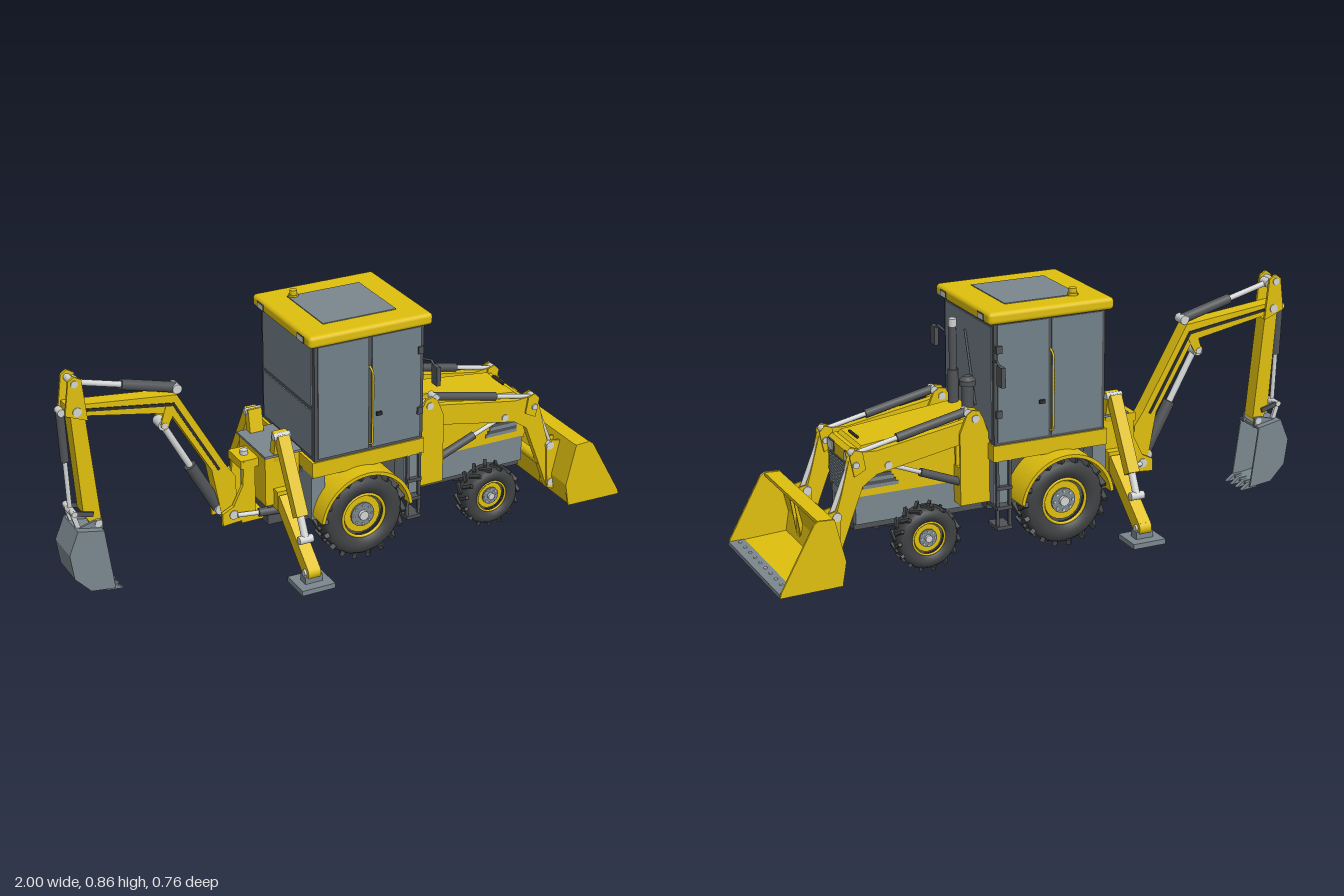
import * as THREE from 'three';
import { RoundedBoxGeometry } from 'three/addons/geometries/RoundedBoxGeometry.js';

const paint = (name, color) => {
  const m = new THREE.MeshStandardMaterial({ color });
  m.name = name;
  return m;
};

export function createModel() {
  const yellow = paint('yellow paint', 0xdfbf0e), grey = paint('grey steel', 0x7a868e);
  const glass = paint('window glass', 0x72808a), dark = paint('dark frame', 0x505356);
  const rubber = paint('tyre rubber', 0x3f4143), chrome = paint('chrome', 0xd2d4d4);
  const black = paint('black trim', 0x2c2d2e);
  const root = new THREE.Group();
  root.name = 'diggingTractor';
  const V = (x, y, z) => new THREE.Vector3(x, y, z);

  function add(name, geo, mat, parent = root) {
    const m = new THREE.Mesh(geo, mat);
    m.name = name;
    parent.add(m);
    return m;
  }
  // Box given by its limits on each axis
  function box(name, mat, x0, x1, y0, y1, z0, z1) {
    const m = add(name, new THREE.BoxGeometry(x1 - x0, y1 - y0, Math.abs(z1 - z0)), mat);
    m.position.set((x0 + x1) / 2, (y0 + y1) / 2, (z0 + z1) / 2);
  }
  // Side profile (points or a shape) extruded along z, centred on z
  function slab(name, mat, profile, z, depth) {
    const shape = Array.isArray(profile) ? new THREE.Shape(profile.map(p => new THREE.Vector2(...p))) : profile;
    const geo = new THREE.ExtrudeGeometry(shape, { depth, bevelEnabled: false, curveSegments: 24 });
    add(name, geo.translate(0, 0, z - depth / 2), mat);
  }
  // Round rod between two points
  function rod(name, mat, a, b, r, parent = root, r2 = r) {
    const m = add(name, new THREE.CylinderGeometry(r2, r, a.distanceTo(b), 20), mat, parent);
    m.position.copy(a).lerp(b, 0.5);
    m.quaternion.setFromUnitVectors(V(0, 1, 0), b.clone().sub(a).normalize());
    return m;
  }
  // Square beam between two points
  function beam(name, mat, a, b, w, h) {
    const m = add(name, new THREE.BoxGeometry(w, h, a.distanceTo(b)), mat);
    m.position.copy(a).lerp(b, 0.5);
    m.lookAt(b);
  }
  // Pins along z and along x
  const pin = (name, mat, x, y, z, r, w) => rod(name, mat, V(x, y, z - w / 2), V(x, y, z + w / 2), r);
  const crossPin = (name, mat, x, y, z, r, w) => rod(name, mat, V(x - w / 2, y, z), V(x + w / 2, y, z), r);
  // Hydraulic ram: dark barrel from a, chrome rod to b
  function ram(name, a, b, r, share) {
    const mid = a.clone().lerp(b, share);
    rod(name + 'Barrel', dark, a, mid, r);
    rod(name + 'Rod', chrome, mid, b, r * 0.55);
    for (const p of [a, b]) pin(name + 'Eye', chrome, p.x, p.y, p.z, r * 0.9, r * 2.4);
  }

  // Wheel with angled lugs, yellow rim and bolted hub
  function wheel(name, x, R, z, w, lugs) {
    const g = new THREE.Group();
    g.name = name;
    g.position.set(x, R, z);
    if (z < 0) g.rotation.x = Math.PI;
    root.add(g);
    const r = R * 0.94, h = w / 2, rim = R * 0.54;
    const prof = [[rim, -h * 0.8], [r * 0.75, -h], [r * 0.92, -h * 0.9], [r, -h * 0.6], [r, h * 0.6],
      [r * 0.92, h * 0.9], [r * 0.75, h], [rim, h * 0.8], [rim * 0.92, h * 0.5]].map(p => new THREE.Vector2(...p));
    add('tyre', new THREE.LatheGeometry(prof, 40).rotateX(Math.PI / 2), rubber, g);
    for (let i = 0; i < lugs * 2; i++) {
      const side = i % 2 ? 1 : -1, arm = new THREE.Group();
      arm.name = 'lugArm';
      arm.rotation.z = i * Math.PI / lugs;
      g.add(arm);
      const lug = add('lug', new THREE.BoxGeometry(R * 0.1, R * 0.11, h * 1.1), rubber, arm);
      lug.position.set(0, R * 0.945, side * h * 0.48);
      lug.rotation.y = side * 0.55;
    }
    const disc = (n, m, rad, z0, z1) => rod(n, m, V(0, 0, z0), V(0, 0, z1), rad, g);
    disc('rimBack', dark, rim * 0.95, -h * 0.7, h * 0.3);
    add('rimRing', new THREE.TorusGeometry(rim * 0.93, R * 0.035, 8, 40), yellow, g).position.z = h * 0.72;
    disc('rimDish', yellow, rim * 0.8, 0, h * 0.5);
    disc('hub', grey, rim * 0.52, 0, h * 0.62);
    disc('hubCap', chrome, rim * 0.2, 0, h * 0.85);
    for (let i = 0; i < 8; i++) {
      const a = i * Math.PI / 4, b = disc('wheelBolt', chrome, R * 0.025, h * 0.5, h * 0.7);
      b.position.x = Math.cos(a) * rim * 0.4;
      b.position.y = Math.sin(a) * rim * 0.4;
    }
  }

  // Chassis and axles
  box('chassis', dark, -0.3, 0.68, 0.12, 0.2, -0.085, 0.085);
  box('lowerBody', grey, 0.3, 0.68, 0.145, 0.24, -0.105, 0.105);
  box('underCab', dark, -0.19, 0.22, 0.13, 0.33, -0.125, 0.125);
  pin('rearAxle', dark, -0.015, 0.155, 0, 0.035, 0.34);
  pin('frontAxle', dark, 0.48, 0.11, 0, 0.025, 0.38);
  for (const [x, y, r] of [[-0.015, 0.155, 0.06], [0.48, 0.11, 0.045]])
    add('differential', new THREE.SphereGeometry(r, 20, 14), dark).position.set(x, y, 0);

  for (const s of [1, -1]) {
    wheel('rearWheel', -0.015, 0.155, s * 0.193, 0.1, 18);
    wheel('frontWheel', 0.48, 0.11, s * 0.207, 0.08, 15);
    // Rear fender arch
    const arch = new THREE.Shape();
    arch.absarc(-0.015, 0.155, 0.172, 0.12, Math.PI - 0.12, false);
    arch.absarc(-0.015, 0.155, 0.16, Math.PI - 0.12, 0.12, true);
    slab('rearFender', yellow, arch, s * 0.197, 0.126);
    // Tanks, steps and side panels
    box('rearPanel', grey, -0.19, -0.14, 0.16, 0.325, s * 0.1, s * 0.19);
    box('tank', grey, 0.16, 0.225, 0.17, 0.325, s * 0.1, s * 0.19);
    for (const x of [0.165, 0.21]) box('stepPost', dark, x, x + 0.01, 0.08, 0.325, s * 0.19, s * 0.2);
    for (const y of [0.08, 0.15, 0.22]) box('step', dark, 0.165, 0.22, y, y + 0.012, s * 0.13, s * 0.205);
  }

  // Cab
  box('cabFloor', yellow, -0.19, 0.23, 0.32, 0.375, -0.2, 0.2);
  box('cabFrame', dark, -0.18, 0.225, 0.375, 0.795, -0.195, 0.195);
  add('roof', new RoundedBoxGeometry(0.455, 0.042, 0.428, 4, 0.014), yellow).position.set(0.022, 0.81, 0);
  box('roofHatch', grey, -0.115, 0.155, 0.829, 0.834, -0.13, 0.13);
  box('windscreen', glass, 0.224, 0.229, 0.39, 0.775, -0.182, 0.182);
  box('rearLowerWindow', glass, -0.184, -0.179, 0.39, 0.555, -0.18, 0.18);
  box('rearUpperWindow', glass, -0.184, -0.179, 0.57, 0.78, -0.18, 0.18);
  rod('wiper', dark, V(0.233, 0.48, -0.065), V(0.233, 0.72, 0.013), 0.004);
  rod('beaconBase', yellow, V(-0.095, 0.83, -0.125), V(-0.095, 0.84, -0.125), 0.017);
  rod('beacon', yellow, V(-0.095, 0.838, -0.125), V(-0.095, 0.856, -0.125), 0.013);
  for (const s of [1, -1]) {
    box('doorWindow', glass, 0.03, 0.213, 0.385, 0.785, s * 0.194, s * 0.199);
    box('sideWindow', glass, -0.168, 0.018, 0.385, 0.785, s * 0.194, s * 0.199);
    box('doorHandle', black, 0.045, 0.065, 0.5, 0.512, s * 0.198, s * 0.208);
    for (const y of [0.47, 0.69]) box('hinge', dark, 0.2, 0.22, y, y + 0.025, s * 0.195, s * 0.206);
    const rail = new THREE.CatmullRomCurve3([V(0.022, 0.4, s * 0.197), V(0.022, 0.41, s * 0.217),
      V(0.022, 0.45, s * 0.22), V(0.022, 0.63, s * 0.22), V(0.022, 0.67, s * 0.217), V(0.022, 0.68, s * 0.197)]);
    add('handrail', new THREE.TubeGeometry(rail, 24, 0.004, 8), yellow);
    rod('mirrorArm', dark, V(0.225, 0.665, s * 0.195), V(0.232, 0.675, s * 0.235), 0.004);
    rod('mirrorArm', dark, V(0.232, 0.675, s * 0.235), V(0.232, 0.655, s * 0.265), 0.004);
    box('mirror', dark, 0.225, 0.24, 0.6, 0.667, s * 0.248, s * 0.284);
    for (const x of [-0.207, 0.247]) {
      box('lampBezel', dark, x, x + 0.004, 0.797, 0.82, s * 0.124, s * 0.172);
      box('roofLamp', chrome, x - 0.001, x + 0.005, 0.8, 0.817, s * 0.128, s * 0.168);
    }
  }

  // Hood, grille and lamps
  slab('hood', yellow, [[0.22, 0.235], [0.69, 0.235], [0.69, 0.385], [0.675, 0.398], [0.22, 0.44]], 0, 0.21);
  slab('hoodCrown', yellow, [[0.22, 0.43], [0.67, 0.39], [0.65, 0.41], [0.22, 0.458]], 0, 0.185);
  box('grille', dark, 0.688, 0.695, 0.243, 0.347, -0.08, 0.08);
  for (let i = 0; i < 9; i++) box('grilleBar', grey, 0.693, 0.699, 0.247 + i * 0.011, 0.254 + i * 0.011, -0.077, 0.077);
  pin('hoodHandle', black, 0.64, 0.42, 0, 0.005, 0.07);
  for (const s of [1, -1]) {
    box('lampBezel', dark, 0.688, 0.693, 0.352, 0.387, s * 0.047, s * 0.099);
    box('headlamp', chrome, 0.69, 0.696, 0.355, 0.384, s * 0.05, s * 0.096);
    for (let i = 0; i < 4; i++)
      box('sideVent', i % 2 ? dark : grey, 0.53 + i * 0.008, 0.655, 0.265 + i * 0.012, 0.277 + i * 0.012, s * 0.104, s * 0.109);
  }
  // Exhaust and air intake
  rod('exhaustMuffler', dark, V(0.25, 0.44, 0.075), V(0.25, 0.567, 0.075), 0.018);
  rod('exhaustPipe', dark, V(0.25, 0.56, 0.075), V(0.25, 0.72, 0.075), 0.013);
  rod('exhaustTip', chrome, V(0.25, 0.717, 0.075), V(0.25, 0.743, 0.075), 0.014);
  rod('intakePipe', dark, V(0.265, 0.44, -0.075), V(0.265, 0.56, -0.075), 0.02);
  rod('intakeCap', dark, V(0.265, 0.557, -0.075), V(0.265, 0.575, -0.075), 0.028);
  rod('intakeDome', dark, V(0.265, 0.575, -0.075), V(0.265, 0.588, -0.075), 0.028, root, 0.014);

  // Front lift towers, arms and rams
  for (const s of [1, -1]) {
    const z = s * 0.135;
    for (const o of [-0.018, 0.018])
      slab('liftTower', yellow, [[0.225, 0.17], [0.33, 0.17], [0.33, 0.42], [0.305, 0.48], [0.285, 0.495], [0.26, 0.49], [0.245, 0.46], [0.225, 0.4]], z + o, 0.009);
    box('towerFoot', yellow, 0.225, 0.33, 0.17, 0.3, s * 0.1, s * 0.15);
    slab('liftArm', yellow, [[0.255, 0.45], [0.29, 0.46], [0.62, 0.405], [0.69, 0.41], [0.715, 0.385], [0.745, 0.27], [0.795, 0.1],
      [0.795, 0.04], [0.765, 0.035], [0.735, 0.12], [0.67, 0.29], [0.62, 0.325], [0.3, 0.385]], z, 0.026);
    for (const o of [-0.017, 0.017])
      slab('bellCrank', yellow, [[0.66, 0.35], [0.7, 0.33], [0.715, 0.4], [0.695, 0.42], [0.67, 0.41]], z + o, 0.006);
    ram('tiltRam', V(0.3, 0.487, z), V(0.695, 0.402, z), 0.015, 0.62);
    rod('tiltLink', chrome, V(0.705, 0.385, z), V(0.775, 0.21, z), 0.008);
    ram('liftRam', V(0.29, 0.235, z), V(0.58, 0.35, z), 0.014, 0.6);
    for (const [x, y, r] of [[0.275, 0.465, 0.013], [0.695, 0.37, 0.011], [0.765, 0.205, 0.015], [0.775, 0.06, 0.015]])
      pin('liftPin', chrome, x, y, z, r, 0.052);
    for (const o of [-0.02, 0.02])
      slab('bucketBracket', yellow, [[0.75, 0.21], [0.77, 0.225], [0.82, 0.215], [0.79, 0.03], [0.76, 0.04]], z + o, 0.007);
  }
  pin('armCrossTube', yellow, 0.745, 0.14, 0, 0.018, 0.27);

  // Front bucket: shell, cheeks and bolted cutting edge
  slab('bucketShell', yellow, [[0.865, 0.24], [0.81, 0.237], [0.776, 0.09], [0.79, 0.012], [0.99, 0.004],
    [0.99, 0.012], [0.797, 0.022], [0.786, 0.09], [0.818, 0.226], [0.865, 0.228]], 0, 0.504);
  for (const s of [1, -1])
    slab('bucketCheek', yellow, [[0.865, 0.242], [0.81, 0.239], [0.774, 0.09], [0.788, 0.008], [1, 0.004], [0.995, 0.022], [0.88, 0.23]], s * 0.252, 0.008);
  box('cuttingEdge', grey, 0.945, 1, 0.002, 0.016, -0.25, 0.25);
  for (let i = 0; i < 10; i++) {
    const z = -0.225 + i * 0.05;
    rod('edgeBolt', chrome, V(0.967, 0.014, z), V(0.967, 0.02, z), 0.006);
  }

  // Rear frame and stabilizers
  box('rearFrame', yellow, -0.315, -0.185, 0.2, 0.38, -0.1, 0.1);
  box('rearFrameTop', grey, -0.32, -0.185, 0.38, 0.388, -0.11, 0.11);
  box('rearCrossBeam', yellow, -0.285, -0.235, 0.19, 0.26, -0.13, 0.13);
  for (const s of [1, -1]) {
    const x = -0.26, foot = V(x, 0.055, s * 0.326);
    beam('stabilizerLeg', yellow, V(x, 0.23, s * 0.12), foot, 0.045, 0.05);
    crossPin('legEnd', yellow, x, foot.y, foot.z, 0.025, 0.045);
    crossPin('footPin', chrome, x, foot.y, foot.z, 0.011, 0.06);
    box('footBracket', grey, x - 0.032, x + 0.032, 0.015, 0.045, s * 0.308, s * 0.344);
    box('footPad', grey, -0.32, -0.2, 0.002, 0.02, s * 0.27, s * 0.38);
    beam('ramSleeve', yellow, V(x, 0.455, s * 0.115), V(x, 0.22, s * 0.25), 0.042, 0.036);
    rod('stabilizerRod', chrome, V(x, 0.23, s * 0.244), V(x, 0.152, s * 0.284), 0.013);
    crossPin('rodEye', chrome, x, 0.152, s * 0.284, 0.014, 0.05);
    beam('ramMount', yellow, V(x, 0.36, s * 0.085), V(x, 0.465, s * 0.105), 0.05, 0.03);
    crossPin('mountPin', chrome, x, 0.455, s * 0.11, 0.012, 0.06);
    // Swing frame plates and slewing rams
    slab('swingPlate', yellow, [[-0.45, 0.135], [-0.33, 0.145], [-0.33, 0.36], [-0.37, 0.36], [-0.375, 0.27], [-0.41, 0.2], [-0.45, 0.18]], s * 0.045, 0.014);
    rod('swingRam', dark, V(-0.22, 0.17, s * 0.09), V(-0.33, 0.17, s * 0.075), 0.015);
    rod('swingRod', chrome, V(-0.33, 0.17, s * 0.075), V(-0.4, 0.17, s * 0.06), 0.008);
  }
  for (const y of [0.13, 0.33]) box('swingHinge', yellow, -0.38, -0.27, y, y + 0.03, -0.05, 0.05);
  rod('kingPin', chrome, V(-0.345, 0.12, 0), V(-0.345, 0.375, 0), 0.014);

  // Boom with dark side stripes
  slab('boom', yellow, [[-0.965, 0.68], [-0.91, 0.675], [-0.59, 0.64], [-0.425, 0.35], [-0.39, 0.3], [-0.385, 0.15], [-0.44, 0.15],
    [-0.475, 0.34], [-0.615, 0.58], [-0.91, 0.635], [-0.965, 0.64]], 0, 0.054);
  for (const s of [1, -1]) {
    slab('boomStripe', black, [[-0.91, 0.66], [-0.6, 0.614], [-0.445, 0.34], [-0.453, 0.335], [-0.606, 0.604], [-0.91, 0.65]], s * 0.028, 0.004);
    slab('ramBracket', yellow, [[-0.65, 0.545], [-0.63, 0.525], [-0.59, 0.6], [-0.63, 0.61]], s * 0.025, 0.008);
  }
  ram('boomRam', V(-0.445, 0.185, 0), V(-0.638, 0.54, 0), 0.021, 0.5);
  ram('dipperRam', V(-0.585, 0.655, 0), V(-0.925, 0.745, 0), 0.018, 0.55);
  // Dipper
  slab('dipper', yellow, [[-0.955, 0.64], [-0.905, 0.62], [-0.87, 0.26], [-0.88, 0.235], [-0.9, 0.235], [-0.93, 0.29]], 0, 0.056);
  ram('bucketRam', V(-0.98, 0.655, 0), V(-0.965, 0.3, 0), 0.014, 0.5);
  for (const s of [1, -1]) {
    slab('dipperHead', yellow, [[-0.975, 0.65], [-0.96, 0.765], [-0.94, 0.78], [-0.915, 0.765], [-0.9, 0.62]], s * 0.032, 0.009);
    beam('bucketLink', dark, V(-0.97, 0.305, s * 0.036), V(-0.9, 0.285, s * 0.036), 0.008, 0.016);
    beam('bucketLink', chrome, V(-0.97, 0.305, s * 0.03), V(-0.945, 0.225, s * 0.03), 0.01, 0.016);
  }
  for (const [x, y, r, w] of [[-0.94, 0.755, 0.012, 0.08], [-0.935, 0.658, 0.015, 0.08], [-0.885, 0.25, 0.012, 0.085],
    [-0.965, 0.303, 0.01, 0.09], [-0.41, 0.17, 0.016, 0.112], [-0.638, 0.54, 0.011, 0.064]]) pin('linkPin', chrome, x, y, 0, r, w);

  // Digging bucket with teeth
  const outer = [[-0.875, 0.232], [-0.965, 0.25], [-0.998, 0.17], [-0.985, 0.08], [-0.93, 0.022], [-0.845, 0.012]];
  const inner = [[-0.845, 0.02], [-0.925, 0.032], [-0.975, 0.085], [-0.987, 0.168], [-0.958, 0.24], [-0.876, 0.223]];
  slab('digBucketShell', grey, [...outer, ...inner], 0, 0.12);
  for (const s of [1, -1]) {
    slab('digBucketCheek', grey, outer, s * 0.061, 0.007);
    slab('digBucketEar', grey, [[-0.87, 0.225], [-0.87, 0.262], [-0.9, 0.262], [-0.96, 0.245]], s * 0.036, 0.008);
  }
  for (let i = 0; i < 4; i++)
    slab('tooth', grey, [[-0.875, 0.008], [-0.815, 0.002], [-0.845, 0.024], [-0.875, 0.026]], -0.051 + i * 0.034, 0.016);
  return root;
}
